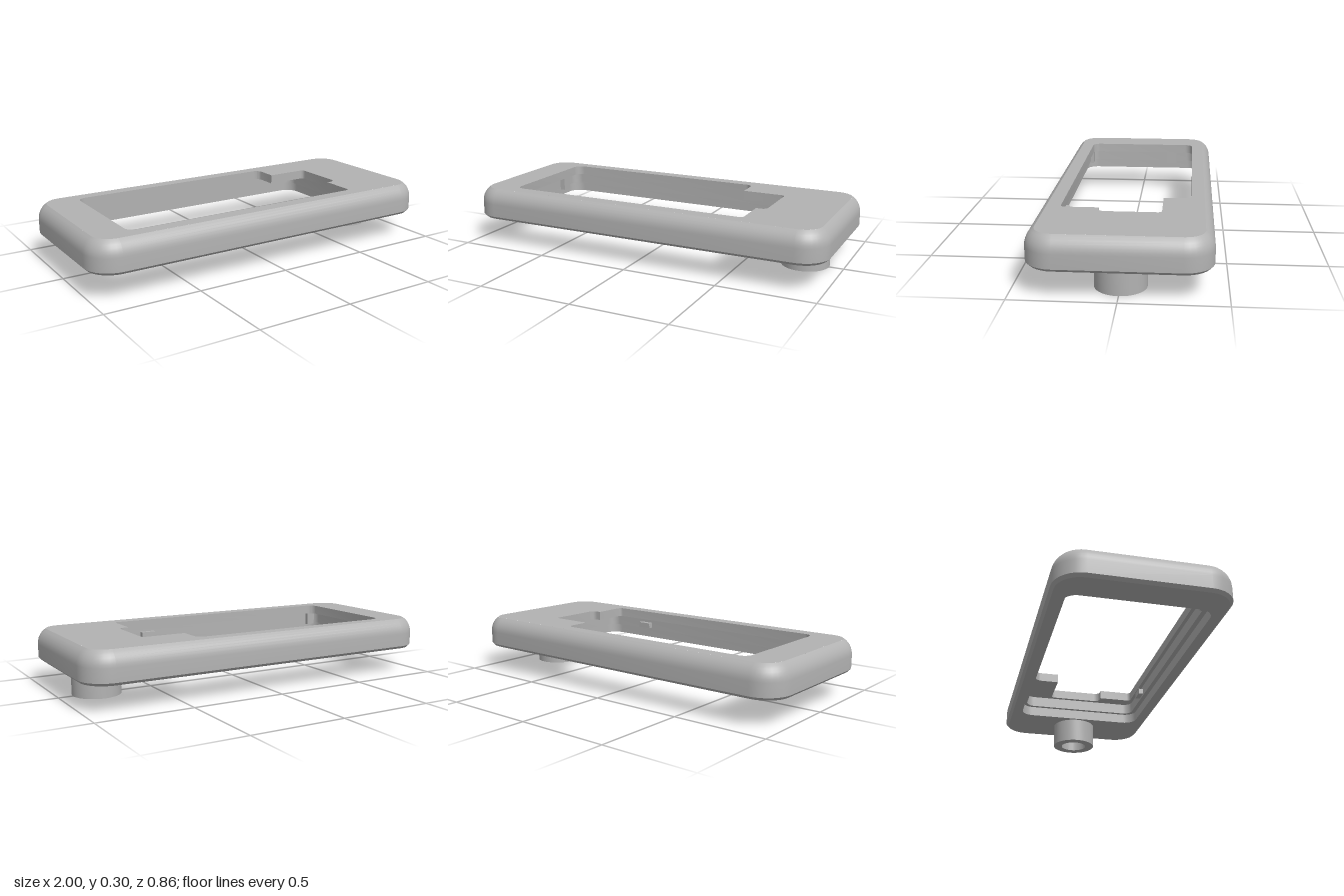
import * as THREE from 'three';
import { toCreasedNormals } from 'three/addons/utils/BufferGeometryUtils.js';

// Closed outline from right-angled corners [x, z, radius]
function outline(corners, segs = 8) {
  const out = [];
  corners.forEach(([x, z, r], i) => {
    const n = corners.length;
    const c = new THREE.Vector2(x, z);
    if (r === 0) { out.push(c); return; }
    const dir = (k) => new THREE.Vector2(corners[k][0], corners[k][1]).sub(c).normalize();
    const prev = dir((i + n - 1) % n), next = dir((i + 1) % n);
    const mid = c.clone().addScaledVector(prev, r).addScaledVector(next, r);
    for (let s = 0; s <= segs; s++) {
      const t = (s / segs) * Math.PI / 2;
      out.push(mid.clone().addScaledVector(next, -r * Math.cos(t)).addScaledVector(prev, -r * Math.sin(t)));
    }
  });
  return out;
}

const rect = (x0, x1, z0, z1, r) => outline([[x0, z0, r], [x1, z0, r], [x1, z1, r], [x0, z1, r]]);

// Band lofted through rings of { y, pts }, facing outward or inward
function band(rings, outward) {
  const n = rings[0].pts.length, pos = [], idx = [];
  for (const { y, pts } of rings) for (const p of pts) pos.push(p.x, y, p.y);
  for (let k = 0; k < rings.length - 1; k++) {
    for (let i = 0; i < n; i++) {
      const a = k * n + i, b = k * n + (i + 1) % n, c = a + n, d = b + n;
      if (outward) idx.push(a, c, b, b, c, d);
      else idx.push(a, b, c, b, d, c);
    }
  }
  const g = new THREE.BufferGeometry();
  g.setAttribute('position', new THREE.Float32BufferAttribute(pos, 3));
  g.setIndex(idx);
  return toCreasedNormals(g, 0.5);
}

// Flat horizontal face with one hole
function face(outer, hole, y, up) {
  const s = up ? -1 : 1;
  const flip = (pts) => pts.map((p) => new THREE.Vector2(p.x, s * p.y));
  const shape = new THREE.Shape(flip(outer));
  shape.holes.push(new THREE.Path(flip(hole)));
  return new THREE.ShapeGeometry(shape).rotateX(s * Math.PI / 2).translate(0, y, 0);
}

export function createModel() {
  const group = new THREE.Group();
  const grey = new THREE.MeshStandardMaterial({ color: 0xb2b2b2 });
  grey.name = 'grey';
  const add = (name, geometry) => {
    const mesh = new THREE.Mesh(geometry, grey);
    mesh.name = name;
    group.add(mesh);
    return mesh;
  };

  const bottom = 0.135, ledge = 0.19, plate = 0.25, top = 0.3;
  const rim = (inset) => rect(-1 + inset, 1 - inset, -0.43 + inset, 0.43 - inset, 0.14 - inset);
  const ring = (y, inset) => ({ y, pts: rim(inset) });

  // Outer shell: bottom chamfer, upright side, rounded shoulder
  add('bottomChamfer', band([ring(bottom, 0.015), ring(0.15, 0)], true));
  const side = [ring(0.15, 0)];
  const R = 0.0936, sweep = 1.024;
  for (let i = 0; i <= 6; i++) {
    const a = sweep * i / 6;
    side.push(ring(0.22 + R * Math.sin(a), R * (1 - Math.cos(a))));
  }
  add('outerSide', band(side, true));

  // Stepped window through the top plate
  const win = outline([
    [-0.78, -0.32, 0.045], [0.385, -0.32, 0.04], [0.385, -0.18, 0], [0.62, -0.18, 0.02],
    [0.62, 0.125, 0.03], [0.565, 0.125, 0], [0.565, 0.315, 0.02], [-0.78, 0.315, 0.045],
  ]);
  // Two-step pocket under the plate
  const low = rect(-0.83, 0.66, -0.36, 0.36, 0.07);
  const high = rect(-0.81, 0.64, -0.335, 0.335, 0.05);
  const wall = (pts, y0, y1) => band([{ y: y0, pts }, { y: y1, pts }], false);

  add('topFace', face(rim(R * (1 - Math.cos(sweep))), win, top, true));
  add('windowWall', wall(win, plate, top));
  add('plateUnderside', face(high, win, plate, false));
  add('upperPocketWall', wall(high, ledge, plate));
  add('pocketLedge', face(low, high, ledge, false));
  add('lowerPocketWall', wall(low, bottom, ledge));
  add('bottomFace', face(rim(0.015), low, bottom, false));

  // Small retaining tabs inside the pocket
  for (const [x, y, z, w, h, d] of [
    [-0.795, 0.215, -0.19, 0.03, 0.07, 0.06],
    [-0.77, 0.215, 0.325, 0.05, 0.07, 0.02],
    [0.365, 0.215, 0.323, 0.08, 0.03, 0.03],
  ]) add('retainingTab', new THREE.BoxGeometry(w, h, d)).position.set(x, y, z);

  // Hollow post under the wide end
  const profile = [[0.075, bottom], [0.075, 0], [0.125, 0], [0.125, bottom]]
    .map(([r, y]) => new THREE.Vector2(r, y));
  add('post', toCreasedNormals(new THREE.LatheGeometry(profile, 48), 0.5)).position.x = 0.8;

  return group;
}
